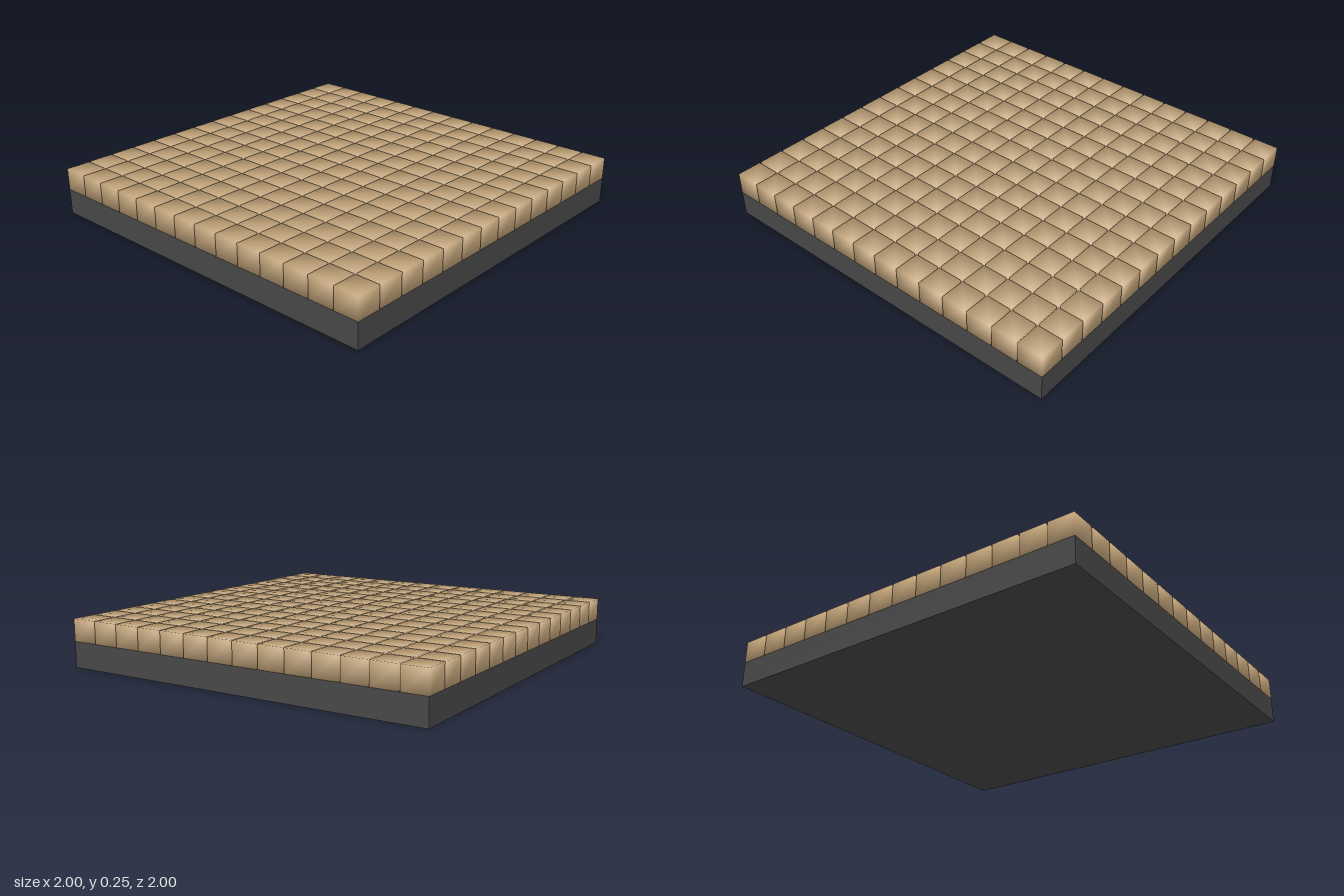
import * as THREE from 'three';
import { mergeGeometries, mergeVertices } from 'three/addons/utils/BufferGeometryUtils.js';

const COUNT = 14;          // tiles per side
const GAP = 0.01;          // joint between tiles
const TILE = (2 - GAP * (COUNT - 1)) / COUNT;
const BASE_H = 0.134;
const TOP = 0.25;

// Box whose corners are welded, so its normals are smooth
function softBox(w, h, d) {
  const geo = new THREE.BoxGeometry(w, h, d);
  geo.deleteAttribute('normal');
  geo.deleteAttribute('uv');
  const welded = mergeVertices(geo);
  welded.computeVertexNormals();
  return welded;
}

export function createModel() {
  const model = new THREE.Group();
  model.name = 'tiledSlab';

  // Dark slab
  const base = new THREE.Mesh(
    new THREE.BoxGeometry(2, BASE_H, 2),
    new THREE.MeshStandardMaterial({ color: 0x474747 })
  );
  base.name = 'base';
  base.position.y = BASE_H / 2;
  model.add(base);

  // Square grid of paving tiles
  const tile = softBox(TILE, TOP - BASE_H, TILE);
  const at = (i) => -1 + TILE / 2 + i * (TILE + GAP);
  const tiles = [];
  for (let row = 0; row < COUNT; row++) {
    for (let col = 0; col < COUNT; col++) {
      tiles.push(tile.clone().translate(at(col), (TOP + BASE_H) / 2, at(row)));
    }
  }
  const paving = new THREE.Mesh(
    mergeGeometries(tiles),
    new THREE.MeshStandardMaterial({ color: 0xc4a57a })
  );
  paving.name = 'pavingTiles';
  model.add(paving);

  return model;
}
